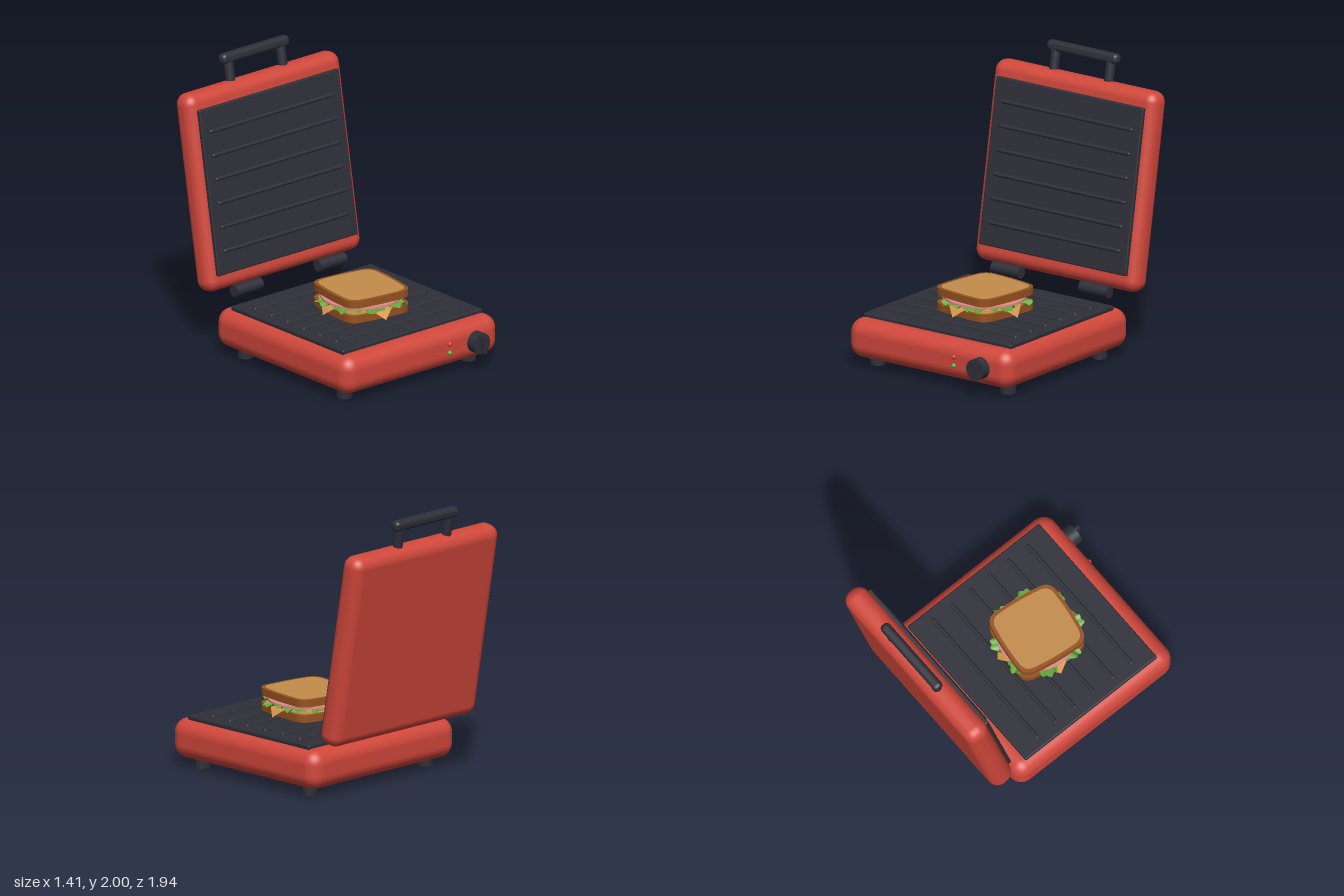
import * as THREE from 'three';
import { RoundedBoxGeometry } from 'three/addons/geometries/RoundedBoxGeometry.js';
import { toCreasedNormals } from 'three/addons/utils/BufferGeometryUtils.js';

const paint = (name, color, side = THREE.FrontSide) => {
  const m = new THREE.MeshStandardMaterial({ color, side });
  m.name = name;
  return m;
};

export function createModel() {
  const red = paint('red enamel', 0xd0473b);
  const dark = paint('dark metal', 0x2e2f38);
  const lampRed = paint('red lamp', 0xd8392f);
  const lampGreen = paint('green lamp', 0x4fb83c);
  const crumb = paint('toasted crumb', 0xc48d4c);
  const crust = paint('crust', 0x96521f);
  const green = paint('lettuce green', 0x63a83a, THREE.DoubleSide);
  const pink = paint('ham pink', 0xe08a88);
  const orange = paint('cheese', 0xd39a4e, THREE.DoubleSide);

  const model = new THREE.Group();
  model.name = 'sandwichPress';
  const add = (parent, name, geometry, material, x = 0, y = 0, z = 0) => {
    const mesh = new THREE.Mesh(geometry, material);
    mesh.name = name;
    mesh.position.set(x, y, z);
    parent.add(mesh);
    return mesh;
  };
  const group = (name, x, y, z) => {
    const g = new THREE.Group();
    g.name = name;
    g.position.set(x, y, z);
    model.add(g);
    return g;
  };

  // Ribbed grill plate lying flat, its underside at y = 0
  const grillPlate = () => {
    const g = new THREE.Group();
    g.name = 'grillPlate';
    add(g, 'plate', new RoundedBoxGeometry(1.275, 0.035, 1.18, 2, 0.01), dark, 0, 0.0085, 0);
    const rib = new THREE.CapsuleGeometry(0.014, 1.115, 4, 10).rotateZ(Math.PI / 2);
    for (let i = 0; i < 6; i++) add(g, 'rib', rib, dark, 0, 0.027, (i - 2.5) * 0.17);
    return g;
  };

  // Base with feet
  const base = group('base', 0, 0, 0.165);
  add(base, 'baseBody', new RoundedBoxGeometry(1.41, 0.28, 1.41, 6, 0.1), red, 0, 0.205, 0);
  const lowerPlate = grillPlate();
  lowerPlate.position.y = 0.345;
  base.add(lowerPlate);
  for (const x of [-0.565, 0.565])
    for (const z of [-0.52, 0.52])
      add(base, 'foot', new THREE.CylinderGeometry(0.055, 0.055, 0.08, 24), dark, x, 0.04, z);

  // Control knob and lamps on the front
  const knob = group('knob', 0.47, 0.205, 0.87);
  add(knob, 'knobDisc', new THREE.CylinderGeometry(0.075, 0.075, 0.08, 32).rotateX(Math.PI / 2), dark, 0, 0, 0.03);
  add(knob, 'knobGrip', new THREE.BoxGeometry(0.025, 0.125, 0.04), dark, 0, 0, 0.085);
  const lamp = new THREE.SphereGeometry(0.017, 16, 12);
  add(model, 'redLamp', lamp, lampRed, 0.235, 0.24, 0.87);
  add(model, 'greenLamp', lamp, lampGreen, 0.235, 0.177, 0.87);

  // Hinges
  for (const x of [-0.382, 0.382])
    add(model, 'hinge', new THREE.CylinderGeometry(0.042, 0.042, 0.24, 24).rotateZ(Math.PI / 2), dark, x, 0.41, -0.552);

  // Lid, leaning back
  const lid = group('lid', 0, 1.11, -0.769);
  lid.rotation.x = -THREE.MathUtils.degToRad(10);
  add(lid, 'lidBody', new RoundedBoxGeometry(1.41, 1.41, 0.18, 6, 0.08), red);
  const upperPlate = grillPlate();
  upperPlate.rotation.x = Math.PI / 2;
  upperPlate.position.z = 0.09;
  lid.add(upperPlate);
  add(lid, 'handleBar', new RoundedBoxGeometry(0.61, 0.075, 0.075, 5, 0.03), dark, 0, 0.866, 0);
  for (const x of [-0.238, 0.238])
    add(lid, 'handlePost', new THREE.CylinderGeometry(0.034, 0.034, 0.18, 20), dark, x, 0.77, 0);

  // Sandwich
  const sandwich = group('sandwich', 0.002, 0, 0.207);
  sandwich.rotation.y = -THREE.MathUtils.degToRad(8);

  // Rounded square with slightly bulging sides, extruded upwards
  const slice = (inset, height) => {
    const w = 0.257 - inset, d = 0.264 - inset, r = 0.105 - inset * 0.6, b = 0.012;
    const s = new THREE.Shape();
    s.moveTo(-w + r, -d);
    s.quadraticCurveTo(0, -d - b, w - r, -d);
    s.quadraticCurveTo(w, -d, w, -d + r);
    s.quadraticCurveTo(w + b, 0, w, d - r);
    s.quadraticCurveTo(w, d, w - r, d);
    s.quadraticCurveTo(0, d + b, -w + r, d);
    s.quadraticCurveTo(-w, d, -w, d - r);
    s.quadraticCurveTo(-w - b, 0, -w, -d + r);
    s.quadraticCurveTo(-w, -d, -w + r, -d);
    const g = new THREE.ExtrudeGeometry(s, { depth: height, bevelEnabled: false, curveSegments: 10 });
    return toCreasedNormals(g.rotateX(-Math.PI / 2), 0.7);
  };
  for (const [name, y] of [['bottomBread', 0.386], ['topBread', 0.494]]) {
    add(sandwich, name + 'Crust', slice(0, 0.052), crust, 0, y, 0);
    add(sandwich, name + 'Crumb', slice(0.024, 0.056), crumb, 0, y - 0.002, 0);
  }

  // Cheese: a square turned on its corner, corners folding down over the bread
  const cheese = new THREE.PlaneGeometry(0.49, 0.49, 28, 28).rotateX(-Math.PI / 2).rotateY(Math.PI / 4);
  const cp = cheese.attributes.position;
  const fold = (v) => Math.sign(v) * Math.min(Math.abs(v), 0.275 + (Math.abs(v) - 0.275) * 0.6);
  for (let i = 0; i < cp.count; i++) {
    const x = cp.getX(i), z = cp.getZ(i);
    const over = Math.max(0, Math.max(Math.abs(x), Math.abs(z)) - 0.275);
    cp.setXYZ(i, fold(x), -over * 0.82, fold(z));
  }
  cheese.computeVertexNormals();
  add(sandwich, 'cheese', cheese, orange, 0, 0.446, 0);

  // Lettuce: a lobed leaf with a ruffled rim
  const leaf = new THREE.RingGeometry(0.02, 0.3, 200, 6).rotateX(-Math.PI / 2);
  const lp = leaf.attributes.position;
  for (let i = 0; i < lp.count; i++) {
    const x = lp.getX(i), z = lp.getZ(i), a = Math.atan2(z, x);
    const t = Math.max(0, Math.hypot(x, z) / 0.3 - 0.6) / 0.4;
    const k = 1 + t * (0.11 * Math.cos(8 * (a - 0.27)) + 0.03 * Math.cos(37 * a));
    lp.setXYZ(i, x * k, t * (0.011 * Math.sin(19 * a) + 0.007 * Math.sin(31 * a)), z * k);
  }
  leaf.computeVertexNormals();
  add(sandwich, 'lettuce', leaf, green, 0, 0.458, 0);

  // Ham
  add(sandwich, 'ham', new THREE.CylinderGeometry(0.283, 0.283, 0.014, 48), pink, 0, 0.476, 0);

  return model;
}
